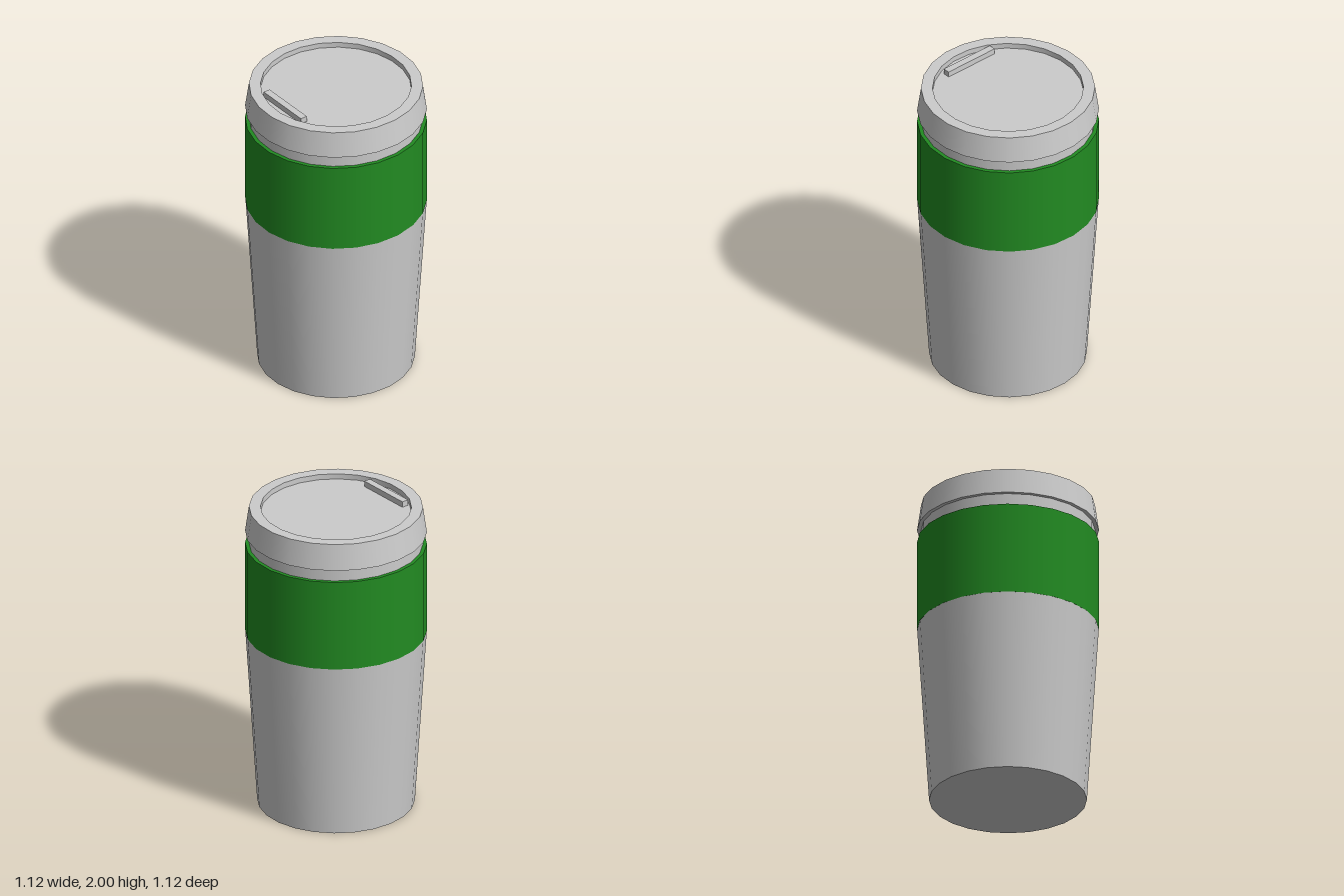
import * as THREE from 'three';
import { mergeGeometries } from 'three/addons/utils/BufferGeometryUtils.js';

const SIDES = 24;
const TURN = THREE.MathUtils.degToRad(5);

// Turned solid whose profile corners stay sharp while the round stays smooth
function turned(name, profile, material) {
  const bands = [];
  for (let i = 0; i < profile.length - 1; i++) {
    const pair = [profile[i], profile[i + 1]].map(([r, y]) => new THREE.Vector2(r, y));
    bands.push(new THREE.LatheGeometry(pair, SIDES, TURN));
  }
  const mesh = new THREE.Mesh(mergeGeometries(bands), material);
  mesh.name = name;
  return mesh;
}

export function createModel() {
  const grey = new THREE.MeshStandardMaterial({ color: 0xcccccc });
  const green = new THREE.MeshStandardMaterial({ color: 0x228b22 });
  const model = new THREE.Group();
  model.name = 'travelCup';

  // Tapered cup with a closed bottom
  model.add(turned('cupBody', [[0, 0], [0.486, 0], [0.559, 1.155]], grey));

  // Straight grip sleeve with a flat shoulder on top
  model.add(turned('gripSleeve', [[0.536, 1.155], [0.56, 1.155], [0.56, 1.75], [0.536, 1.75]], green));

  // Neck between sleeve and lid
  model.add(turned('neck', [[0.536, 1.74], [0.536, 1.83]], grey));

  // Flared lid with a raised rim around a shallow recess
  const rimTop = 1.998;
  const floor = 1.963;
  model.add(turned('lid', [
    [0.536, 1.83], [0.56, 1.83], [0.536, rimTop], [0.465, rimTop], [0.465, floor], [0, floor],
  ], grey));

  // Narrow bar standing in the recess near the front
  const bar = new THREE.Mesh(new THREE.BoxGeometry(0.375, 2 - floor + 0.005, 0.045), grey);
  bar.name = 'lidBar';
  bar.position.set(-0.017, (2 + floor - 0.005) / 2, 0.382);
  model.add(bar);

  return model;
}
